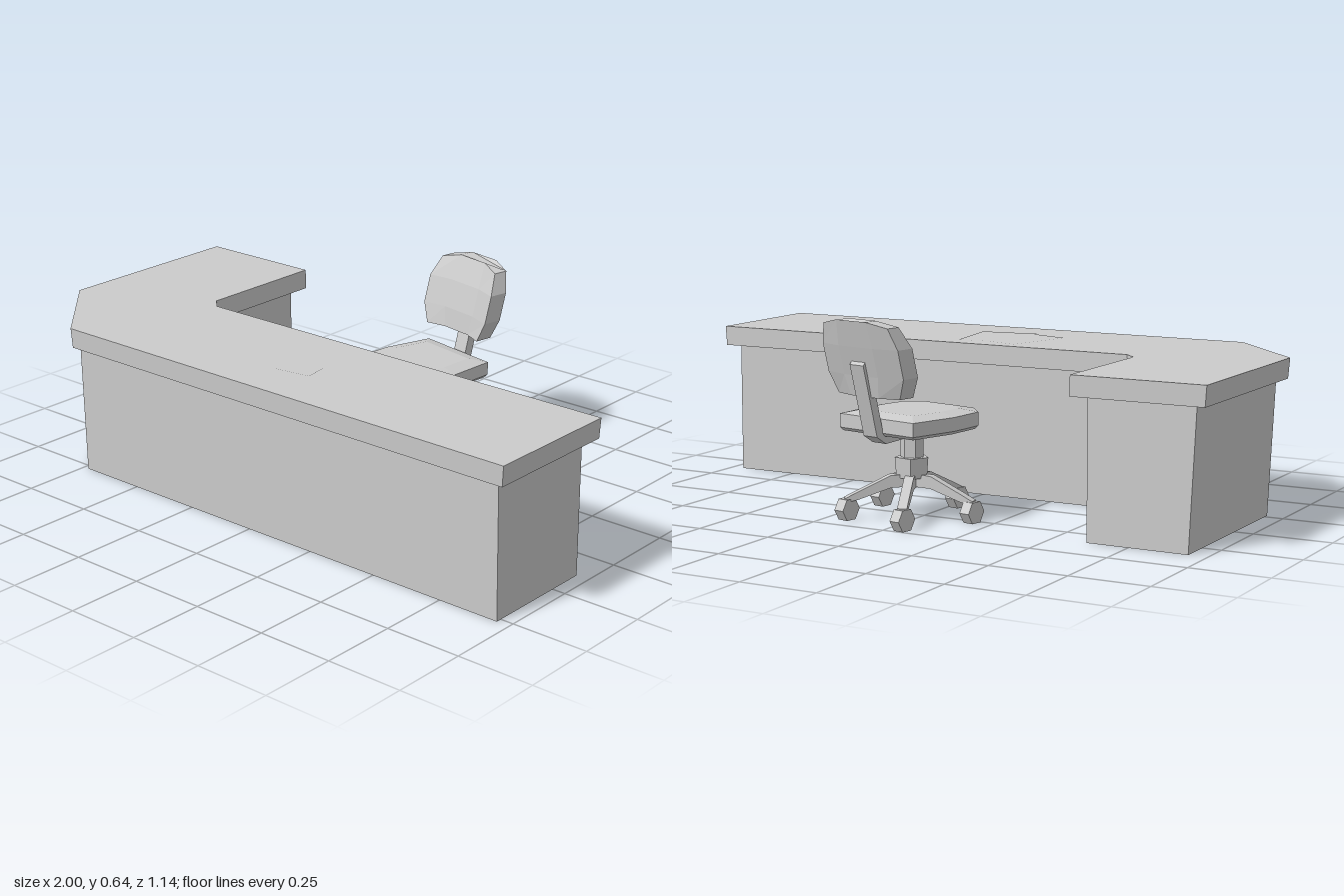
import * as THREE from 'three';

const grey = new THREE.MeshStandardMaterial({ color: 0xcccccc, flatShading: true });
const greyThin = new THREE.MeshStandardMaterial({ color: 0xcccccc, flatShading: true, side: THREE.DoubleSide });

// Joins stacked rings of [x, y, z] (counter-clockwise seen from above), with optional end caps
function loft(rings, capped = true) {
  const pos = [];
  const tri = (a, b, c) => pos.push(...a, ...b, ...c);
  const n = rings[0].length;
  for (let k = 0; k < rings.length - 1; k++) {
    for (let i = 0; i < n; i++) {
      const j = (i + 1) % n, lo = rings[k], hi = rings[k + 1];
      tri(lo[i], lo[j], hi[j]);
      tri(lo[i], hi[j], hi[i]);
    }
  }
  const cap = (ring, up) => {
    const flat = ring.map(([x, , z]) => new THREE.Vector2(x, -z));
    for (const [a, b, c] of THREE.ShapeUtils.triangulateShape(flat, [])) {
      const ccw = THREE.ShapeUtils.area([flat[a], flat[b], flat[c]]) > 0;
      if (ccw === up) tri(ring[a], ring[b], ring[c]);
      else tri(ring[a], ring[c], ring[b]);
    }
  };
  if (capped) {
    cap(rings[0], false);
    cap(rings[rings.length - 1], true);
  }
  const g = new THREE.BufferGeometry();
  g.setAttribute('position', new THREE.Float32BufferAttribute(pos, 3));
  g.computeVertexNormals();
  return g;
}

const ringAt = (outline, y, s = 1) => outline.map(([x, z]) => [x * s, y, z * s]);

function add(parent, name, geometry, material = grey, x = 0, y = 0, z = 0) {
  const m = new THREE.Mesh(geometry, material);
  m.name = name;
  m.position.set(x, y, z);
  parent.add(m);
  return m;
}

function makeDesk() {
  const desk = new THREE.Group();
  desk.name = 'desk';

  // L-shaped worktop with a cut outer corner
  const top = [[-1, 0.28], [-0.73, 0.565], [1, 0.565], [1, 0.1], [-0.53, 0.1], [-0.57, 0.06], [-0.57, -0.383], [-1, -0.383]];
  add(desk, 'worktop', loft([ringAt(top, 0.437, 0.995), ringAt(top, 0.502)]));

  // Inset panels, open underneath, leaning in slightly at the outer sides
  const base = [[-0.96, 0.27], [-0.73, 0.527], [0.957, 0.527], [0.957, 0.13], [-0.545, 0.13], [-0.615, 0.06], [-0.615, -0.355], [-0.96, -0.355]];
  const foot = base.map(([x, z]) => [x < -0.9 ? x + 0.02 : x, z > 0.5 ? z - 0.008 : z]);
  add(desk, 'deskPanels', loft([ringAt(foot, 0), ringAt(base, 0.44)], false), greyThin);

  // Two loose sheets lying on the worktop
  for (const [x, z, turn, y] of [[-0.05, 0.285, -0.3, 0.503], [0.03, 0.29, 0.15, 0.5035]]) {
    const sheet = new THREE.PlaneGeometry(0.19, 0.24).rotateX(-Math.PI / 2).rotateY(turn);
    add(desk, 'paperSheet', sheet, greyThin, x, y, z);
  }
  return desk;
}

// One horizontal slice of the curved backrest: front edge, then rear edge
function backSlice(y, half, front, thick, crown = 0) {
  const steps = [-1, -0.45, 0.45, 1];
  const point = (t, z) => [t * half, y + crown * (1 - t * t), z + 0.025 * t * t];
  return [...steps.map(t => point(t, front)), ...steps.reverse().map(t => point(t, front - thick))];
}

function makeChair() {
  const chair = new THREE.Group();
  chair.name = 'chair';

  // Seat cushion
  const seat = [[-0.095, 0.185], [0.095, 0.185], [0.16, 0.13], [0.172, 0], [0.15, -0.165], [-0.15, -0.165], [-0.172, 0], [-0.16, 0.13]];
  add(chair, 'seat', loft([ringAt(seat, 0.28, 0.95), ringAt(seat, 0.29), ringAt(seat, 0.333), ringAt(seat, 0.345, 0.7)]));

  // Backrest, leaning back and wrapping forward at the sides
  add(chair, 'backrest', loft([
    backSlice(0.405, 0.125, -0.16, 0.06),
    backSlice(0.47, 0.153, -0.17, 0.065),
    backSlice(0.56, 0.153, -0.195, 0.065),
    backSlice(0.625, 0.13, -0.23, 0.05, 0.02),
  ]));

  // Bent bar joining seat and backrest; profile is (z, y)
  const bar = new THREE.Shape([
    [-0.03, 0.283], [-0.03, 0.262], [-0.15, 0.255], [-0.19, 0.28], [-0.25, 0.505], [-0.238, 0.52],
    [-0.222, 0.515], [-0.165, 0.3], [-0.145, 0.28],
  ].map(p => new THREE.Vector2(...p)));
  const barGeo = new THREE.ExtrudeGeometry(bar, { depth: 0.055, bevelEnabled: false });
  add(chair, 'backSupport', barGeo.translate(0, 0, -0.0275).rotateY(-Math.PI / 2));

  // Column and hub
  add(chair, 'column', new THREE.CylinderGeometry(0.036, 0.036, 0.11, 6), grey, 0, 0.235, 0);
  add(chair, 'hub', new THREE.CylinderGeometry(0.055, 0.05, 0.065, 5), grey, 0, 0.16, 0);

  // Five sloping legs with hexagonal casters
  const leg = new THREE.Shape([
    [0.02, 0.14], [0.02, 0.1], [0.07, 0.098], [0.17, 0.065], [0.215, 0.055], [0.212, 0.07], [0.175, 0.088], [0.07, 0.137],
  ].map(p => new THREE.Vector2(...p)));
  for (let i = 0; i < 5; i++) {
    const a = -0.05 + i * Math.PI * 2 / 5;
    const geo = new THREE.ExtrudeGeometry(leg, { depth: 0.03, bevelEnabled: false });
    add(chair, 'leg', geo.translate(0, 0, -0.015).rotateY(a - Math.PI / 2));
    const wheel = new THREE.CylinderGeometry(0.038, 0.038, 0.036, 6).rotateZ(Math.PI / 2);
    add(chair, 'caster', wheel, grey, Math.sin(a) * 0.205, 0.034, Math.cos(a) * 0.205);
  }

  chair.position.set(0.02, 0, -0.29);
  chair.rotation.y = -0.19;
  return chair;
}

export function createModel() {
  const model = new THREE.Group();
  model.name = 'deskWithChair';
  model.add(makeDesk(), makeChair());
  return model;
}
